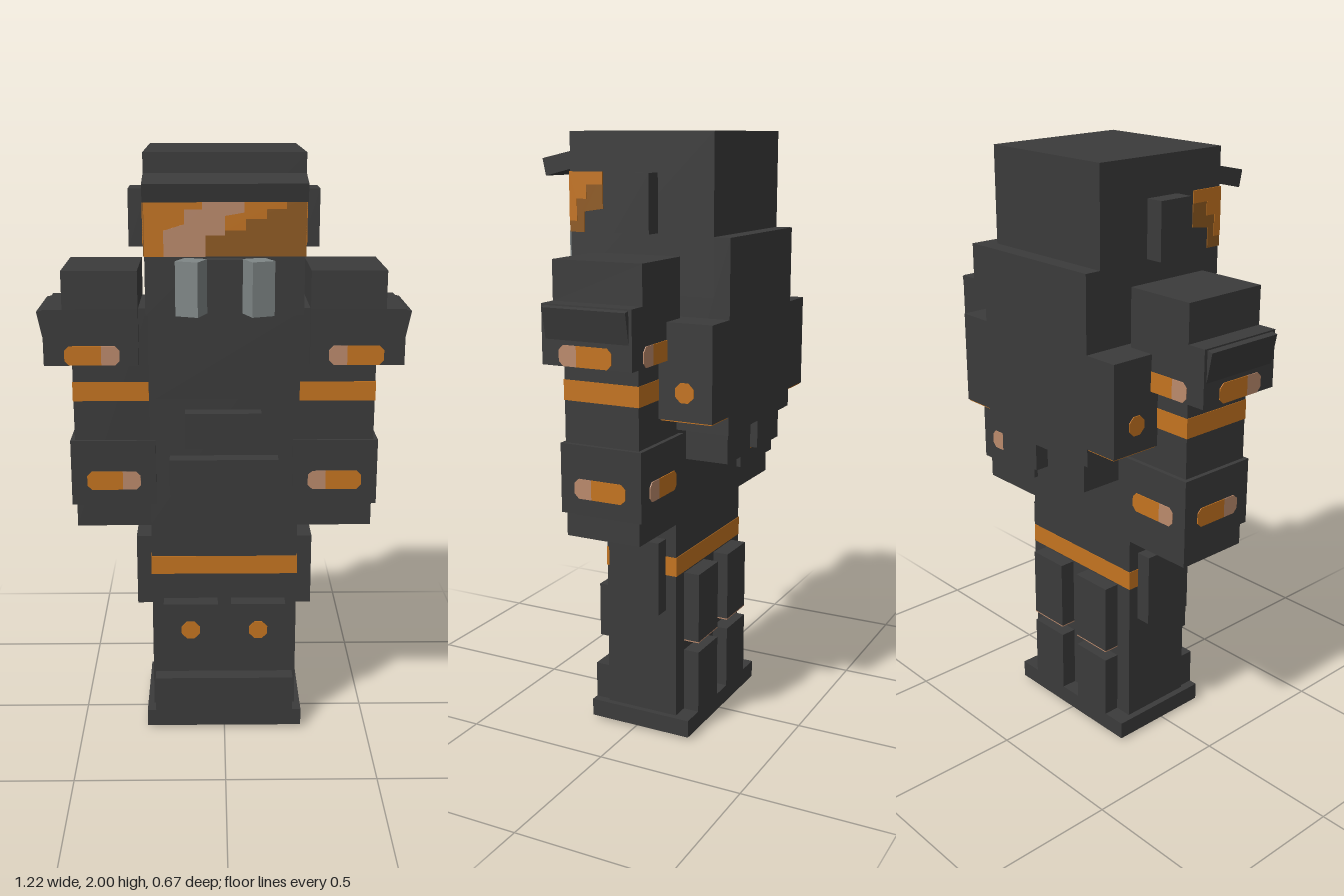
import * as THREE from 'three';

const material = (name, color) => {
  const m = new THREE.MeshStandardMaterial({ color });
  m.name = name;
  return m;
};

export function createModel() {
  const model = new THREE.Group();
  model.name = 'armouredFigure';
  const dark = material('charcoal', 0x3b3b3b);
  const orange = material('orange', 0xc47420);
  const amber = material('darkAmber', 0x8f5a20);
  const pale = material('paleCopper', 0xbb8a6c);
  const grey = material('filterGrey', 0x7f8686);

  // Box given by its lower and upper limits on each axis
  function box(name, x0, x1, y0, y1, z0, z1, mat = dark) {
    const g = new THREE.BoxGeometry(Math.abs(x1 - x0), y1 - y0, z1 - z0);
    const m = new THREE.Mesh(g, mat);
    m.position.set((x0 + x1) / 2, (y0 + y1) / 2, (z0 + z1) / 2);
    m.name = name;
    model.add(m);
    return m;
  }

  // Thin painted plate, outlined in its own plane and turned about y
  function plate(name, points, mat, x, y, z, turn = 0, depth = 0.003) {
    const shape = new THREE.Shape(points.map(([u, v]) => new THREE.Vector2(u, v)));
    const g = new THREE.ExtrudeGeometry(shape, { depth, bevelEnabled: false });
    const m = new THREE.Mesh(g, mat);
    m.position.set(x, y, z);
    m.rotation.y = turn;
    m.name = name;
    model.add(m);
    return m;
  }

  // Lamp with clipped corners; the pale end lies on side d
  function lamp(name, x, y, z, turn, d) {
    const w = 0.09, h = 0.032, c = 0.015, split = 0.03;
    plate(name, [[-d * w, -h + c], [-d * (w - c), -h], [d * split, -h], [d * split, h],
      [-d * (w - c), h], [-d * w, h - c]], orange, x, y, z, turn);
    plate(name + 'Glint', [[d * split, -h], [d * (w - c), -h], [d * w, -h + c], [d * w, h - c],
      [d * (w - c), h], [d * split, h]], pale, x, y, z, turn);
  }

  // Round marker with eight sides
  function dot(name, x, y, z, turn) {
    const pts = [];
    for (let i = 0; i < 8; i++) {
      const a = (i + 0.5) * Math.PI / 4;
      pts.push([0.034 * Math.cos(a), 0.034 * Math.sin(a)]);
    }
    plate(name, pts, orange, x, y, z, turn);
  }

  // Head, torso and legs
  box('head', -0.25, 0.25, 1.5, 2, -0.277, 0.23);
  box('torso', -0.25, 0.25, 0.75, 1.5, -0.15, 0.11);
  box('legs', -0.25, 0.25, 0, 0.75, -0.15, 0.11);
  box('legBand', -0.252, 0.252, 0.57, 0.635, -0.152, 0.112, orange);

  // Helmet brim, tilted down at the front
  const brim = plate('brim', [[0.22, 1.94], [0.22, 1.885], [0.322, 1.86], [0.334, 1.915]],
    dark, 0.25, 0, 0, -Math.PI / 2, 0.5);
  brim.name = 'helmetBrim';

  // Visor front with bands of reflection
  plate('visor', [[-0.25, 1.685], [0.25, 1.685], [0.25, 1.86], [-0.25, 1.86]], amber, 0, 0, 0.23);
  plate('visorSheen', [[-0.25, 1.685], [-0.06, 1.685], [-0.06, 1.75], [0.0, 1.75], [0.0, 1.765], [0.065, 1.765],
    [0.065, 1.8], [0.13, 1.8], [0.13, 1.83], [0.19, 1.83], [0.19, 1.86], [-0.25, 1.86]],
  orange, 0, 0, 0.232);
  plate('visorGlint', [[-0.19, 1.685], [-0.06, 1.685], [-0.06, 1.75], [0.0, 1.75], [0.0, 1.81], [0.06, 1.82],
    [0.06, 1.86], [-0.07, 1.86], [-0.07, 1.83], [-0.125, 1.83], [-0.125, 1.785], [-0.19, 1.765]],
  pale, 0, 0, 0.234);

  // Respirator
  box('respiratorCore', -0.055, 0.055, 1.505, 1.68, 0.22, 0.27);

  // Chest, belly and boots
  box('chestPlate', -0.23, 0.228, 1.205, 1.485, 0.1, 0.145);
  box('bellyPouch', -0.13, 0.122, 1.04, 1.16, 0.1, 0.165);
  box('beltPouch', -0.183, 0.18, 0.88, 1.0, 0.1, 0.165);
  box('bootSole', -0.272, 0.27, 0.01, 0.07, -0.205, 0.165);
  box('bootFront', -0.242, 0.24, 0.07, 0.195, 0.1, 0.165);

  // Backpack
  box('backpack', -0.25, 0.25, 1.07, 1.685, -0.333, -0.15);

  for (const s of [1, -1]) {
    const side = s * Math.PI / 2;
    const flip = (pts) => pts.map(([z, y]) => [-s * z, y]);

    // Visor sides
    plate('visorSide', flip([[0.11, 1.875], [0.232, 1.875], [0.232, 1.685], [0.178, 1.685], [0.178, 1.75], [0.11, 1.76]]),
      amber, s * 0.25, 0, 0, side);
    plate('visorSideSheen', flip([[0.11, 1.875], [0.232, 1.875], [0.232, 1.72], [0.205, 1.72], [0.205, 1.79],
      [0.17, 1.79], [0.17, 1.835], [0.11, 1.835]]), orange, s * 0.252, 0, 0, side);

    // Ear guard and angled breathing filter
    box('earGuard', s * 0.25, s * 0.31, 1.69, 1.875, -0.085, 0.04);
    const filter = box('respiratorFilter', -0.0375, 0.0375, 1.51, 1.68, -0.04, 0.04, grey);
    filter.position.set(s * 0.104, 1.595, 0.272);
    filter.rotation.y = s * 0.38;

    // Arm with band and shoulder armour
    box('arm', s * 0.25, s * 0.5, 0.75, 1.5, -0.15, 0.11);
    box('armBand', s * 0.25, s * 0.502, 1.19, 1.255, -0.152, 0.112, orange);
    box('shoulderTop', s * 0.28, s * 0.525, 1.5, 1.625, -0.178, 0.13);
    box('shoulderGuard', s * 0.28, s * 0.59, 1.315, 1.5, -0.178, 0.13);
    const flare = box('shoulderFlare', s * 0.57, s * 0.6, 1.395, 1.495, -0.167, 0.117);
    flare.rotation.z = -s * 0.2;

    // Forearm armour
    box('forearmGuard', s * 0.23, s * 0.515, 0.83, 1.055, -0.165, 0.12);

    // Lamps on the front, outside and back of the arm armour
    lamp('shoulderLampFront', s * 0.432, 1.348, 0.13, 0, -s);
    lamp('shoulderLampSide', s * 0.59, 1.348, -0.02, side, -s);
    lamp('shoulderLampBack', s * 0.432, 1.348, -0.178, Math.PI, -s);
    lamp('forearmLampFront', s * 0.372, 0.915, 0.12, 0, -s);
    lamp('forearmLampSide', s * 0.515, 0.915, -0.02, side, -s);
    lamp('forearmLampBack', s * 0.372, 0.915, -0.165, Math.PI, -s);

    // Backpack side pods and lower pouches
    box('packPod', s * 0.25, s * 0.372, 1.13, 1.435, -0.333, -0.15);
    box('packPodBase', s * 0.25, s * 0.368, 1.126, 1.13, -0.33, -0.155, orange);
    dot('packPodMarker', s * 0.372, 1.22, -0.24, side);
    box('packPouch', s * 0.03, s * 0.21, 0.965, 1.07, -0.313, -0.165);

    // Thigh pouch, knee pad and rear leg pads
    box('thighPouch', s * 0.25, s * 0.303, 0.445, 0.695, -0.112, 0.073);
    box('kneePad', s * 0.023, s * 0.21, 0.29, 0.478, 0.1, 0.165);
    dot('kneeMarker', s * 0.117, 0.382, 0.165, 0);
    box('rearThighPad', s * 0.04, s * 0.19, 0.325, 0.565, -0.205, -0.14);
    box('rearThighPadBase', s * 0.04, s * 0.19, 0.321, 0.325, -0.205, -0.14, pale);
    box('rearCalfPad', s * 0.04, s * 0.19, 0.07, 0.287, -0.205, -0.14);
  }
  return model;
}
